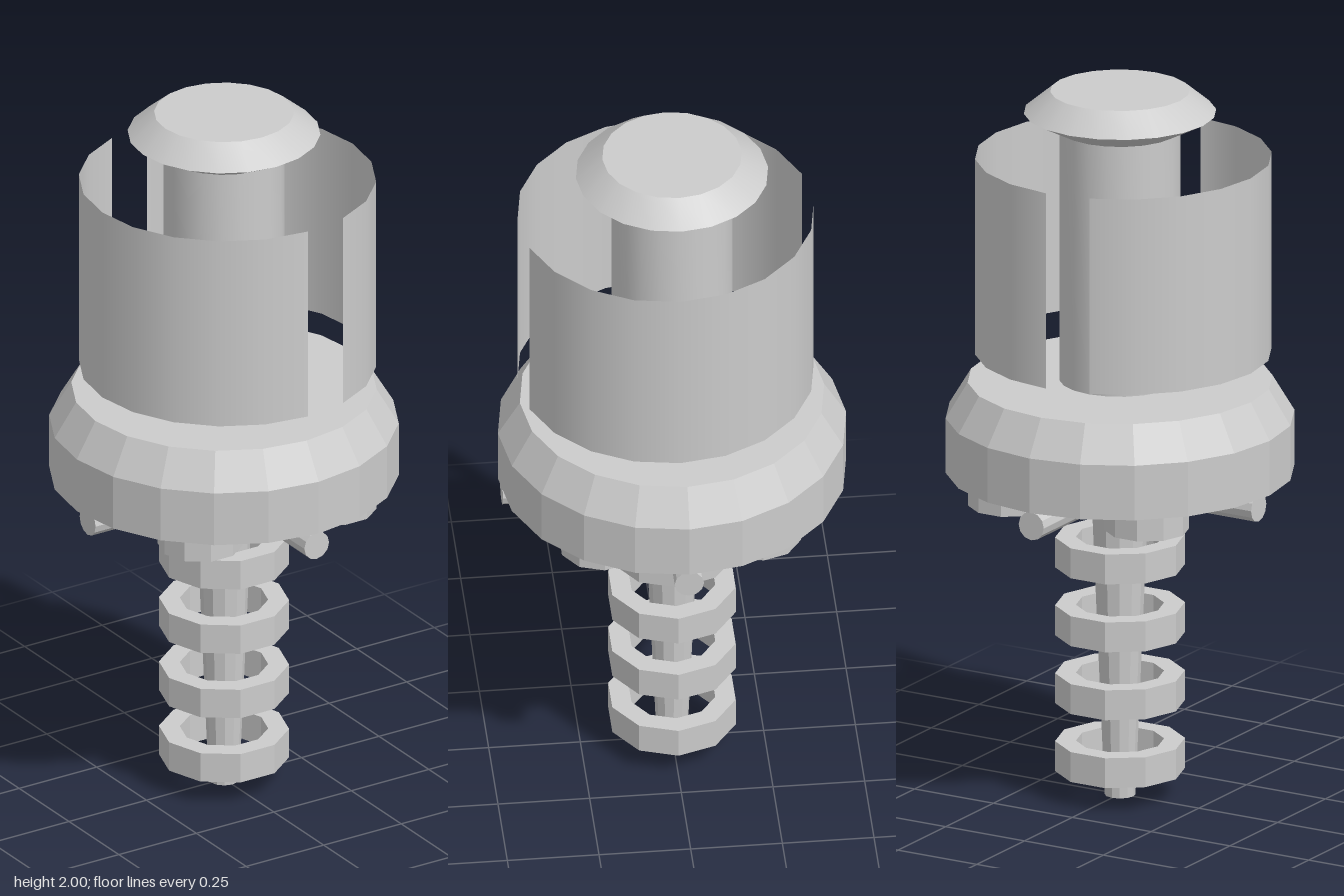
import * as THREE from 'three';
import { toCreasedNormals } from 'three/addons/utils/BufferGeometryUtils.js';

const flat = new THREE.MeshStandardMaterial({ color: 0xcccccc, flatShading: true });
const smooth = new THREE.MeshStandardMaterial({ color: 0xcccccc });
const thin = new THREE.MeshStandardMaterial({ color: 0xcccccc, side: THREE.DoubleSide });

export function createModel() {
  const model = new THREE.Group();
  model.name = 'model';

  const add = (name, geometry, material, x = 0, y = 0, z = 0) => {
    const mesh = new THREE.Mesh(geometry, material);
    mesh.name = name;
    mesh.position.set(x, y, z);
    model.add(mesh);
    return mesh;
  };

  // Profiles are [radius, height] pairs, listed from bottom to top
  const lathe = (profile, sides, start = 0) =>
    new THREE.LatheGeometry(profile.map(([r, y]) => new THREE.Vector2(r, y)), sides, start);
  const creased = (geometry) => toCreasedNormals(geometry, 0.5);

  // Ten-sided hollow ring with a square section, corner on the x axis
  const ring = (outer, inner, height) => lathe(
    [[inner, 0], [outer, 0], [outer, height], [inner, height], [inner, 0]], 10, Math.PI / 2);

  // Faceted collar with a bevelled rim and a shallow conical underside
  add('collar', lathe(
    [[0, 0.88], [0.1, 0.88], [0.475, 0.925], [0.475, 1.08], [0.415, 1.18], [0, 1.18]], 20), flat);

  // Column with its flared cap
  add('column', creased(lathe([[0.165, 1.17], [0.165, 1.9]], 20)), smooth);
  add('cap', creased(lathe(
    [[0, 1.89], [0.165, 1.89], [0.262, 1.94], [0.19, 2], [0, 2]], 20)), smooth);

  // Two thin curved shells, with one slot between them at front and back
  const step = Math.PI / 10;
  for (const [name, start] of [['leftShell', step], ['rightShell', Math.PI + step]]) {
    add(name, new THREE.CylinderGeometry(0.404, 0.404, 0.555, 9, 1, true, start, 9 * step),
      thin, 0, 1.5325, 0.0175);
  }

  // Tapered shaft below the collar
  add('shaft', creased(lathe(
    [[0, 0], [0.042, 0], [0.079, 0.89], [0, 0.89]], 12)), smooth);

  // Loose rings along the shaft
  const shaftRing = ring(0.177, 0.12, 0.085);
  for (let i = 0; i < 4; i++) add('shaftRing', shaftRing, flat, 0, 0.07 + i * 0.193, 0);

  // Four spokes on the axes and four small rings between them
  const nut = ring(0.115, 0.075, 0.08);
  for (let i = 0; i < 4; i++) {
    const angle = i * Math.PI / 2;
    const length = i === 3 ? 0.44 : 0.465;
    const spoke = new THREE.CylinderGeometry(0.04, 0.04, length, 12);
    spoke.rotateX(Math.PI / 2).translate(0, 0, length / 2).rotateY(angle);
    add('spoke', creased(spoke.toNonIndexed()), smooth, 0, 0.885, 0);

    const diagonal = angle + Math.PI / 4;
    add('undersideRing', nut, flat, 0.306 * Math.sin(diagonal), 0.845, 0.306 * Math.cos(diagonal));
  }

  return model;
}
